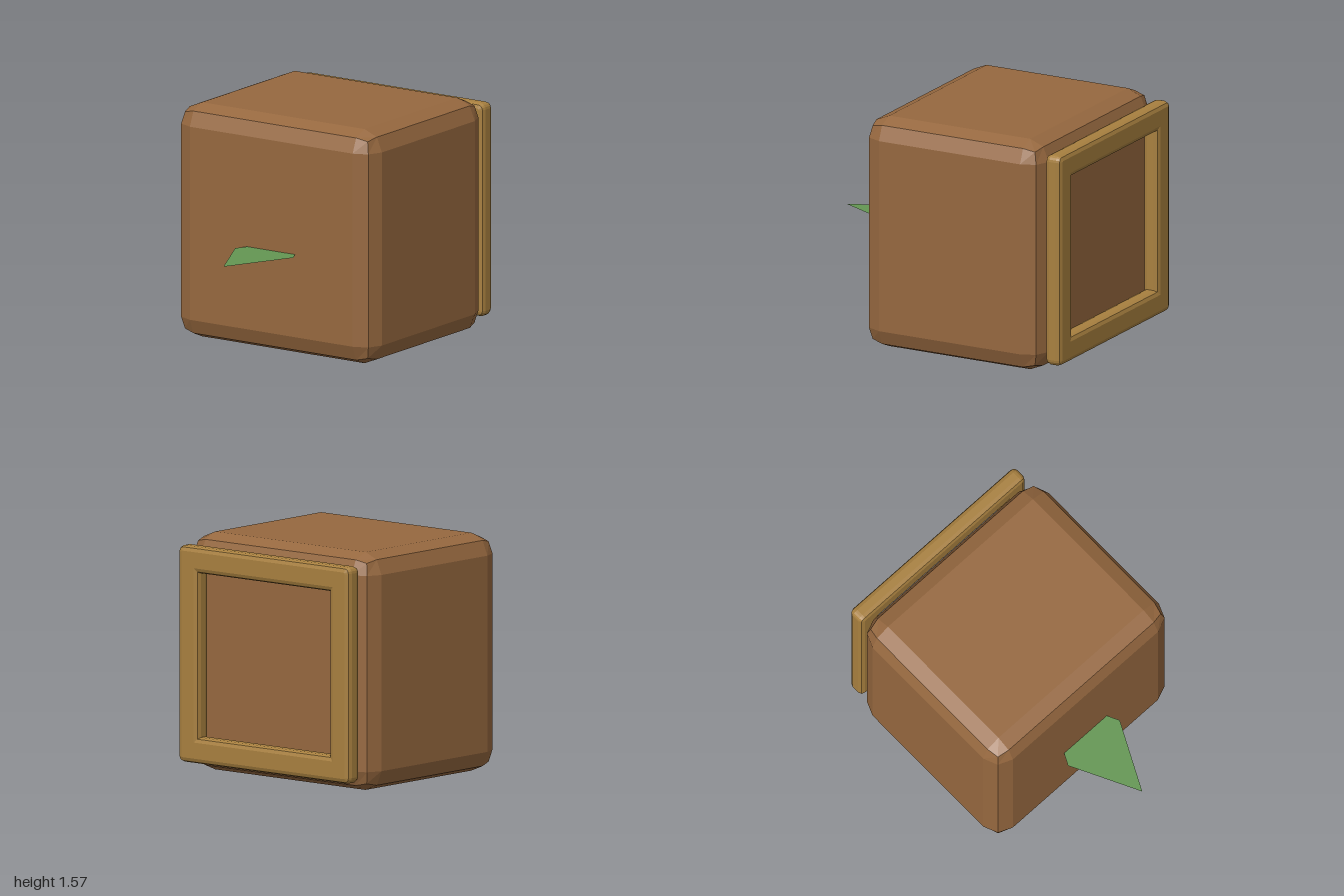
import * as THREE from 'three';
import { RoundedBoxGeometry } from 'three/addons/geometries/RoundedBoxGeometry.js';

function material(color, extra = {}) {
  return new THREE.MeshStandardMaterial({ color, flatShading: true, ...extra });
}

function addPart(group, name, geometry, mat, x, y, z) {
  const mesh = new THREE.Mesh(geometry, mat);
  mesh.name = name;
  mesh.position.set(x, y, z);
  group.add(mesh);
  return mesh;
}

// Rectangle outline with small rounded corners
function roundedRect(hw, hh, r) {
  const s = new THREE.Shape();
  s.absarc(hw - r, hh - r, r, 0, Math.PI / 2);
  s.absarc(-hw + r, hh - r, r, Math.PI / 2, Math.PI);
  s.absarc(-hw + r, -hh + r, r, Math.PI, Math.PI * 1.5);
  s.absarc(hw - r, -hh + r, r, Math.PI * 1.5, Math.PI * 2);
  return s;
}

export function createModel() {
  const group = new THREE.Group();

  // Body: block with two-step bevelled edges
  addPart(group, 'body', new RoundedBoxGeometry(1.565, 1.565, 1.325, 1, 0.137),
    material(0x96683f), 0, 0.7825, -0.2025);

  // Back frame: bevelled border around a rectangular opening
  const hw = 0.735, hh = 0.7125, bar = 0.172, bevel = 0.033, thickness = 0.115;
  const border = roundedRect(hw, hh, 0.04);
  const ix = hw - bar, iy = hh - bar;
  const hole = new THREE.Path();
  hole.moveTo(-ix, -iy).lineTo(-ix, iy).lineTo(ix, iy).lineTo(ix, -iy).closePath();
  border.holes.push(hole);
  const frame = new THREE.ExtrudeGeometry(border, {
    depth: thickness - 2 * bevel, curveSegments: 2, bevelEnabled: true,
    bevelThickness: bevel, bevelSize: bevel, bevelOffset: -bevel, bevelSegments: 2,
  });
  addPart(group, 'backFrame', frame, material(0xa8803f), 0, 0.7875, -1 + bevel);

  // Front pointer: thin diamond lying flat, half sunk into the body
  const diamond = new THREE.Shape();
  diamond.moveTo(0, -0.46).lineTo(0.23, 0).lineTo(0, 0.46).lineTo(-0.23, 0).closePath();
  const pointer = addPart(group, 'frontPointer', new THREE.ShapeGeometry(diamond),
    material(0x649653, { side: THREE.DoubleSide }), 0, 0.69, 0.54);
  pointer.rotation.x = -Math.PI / 2;

  return group;
}
